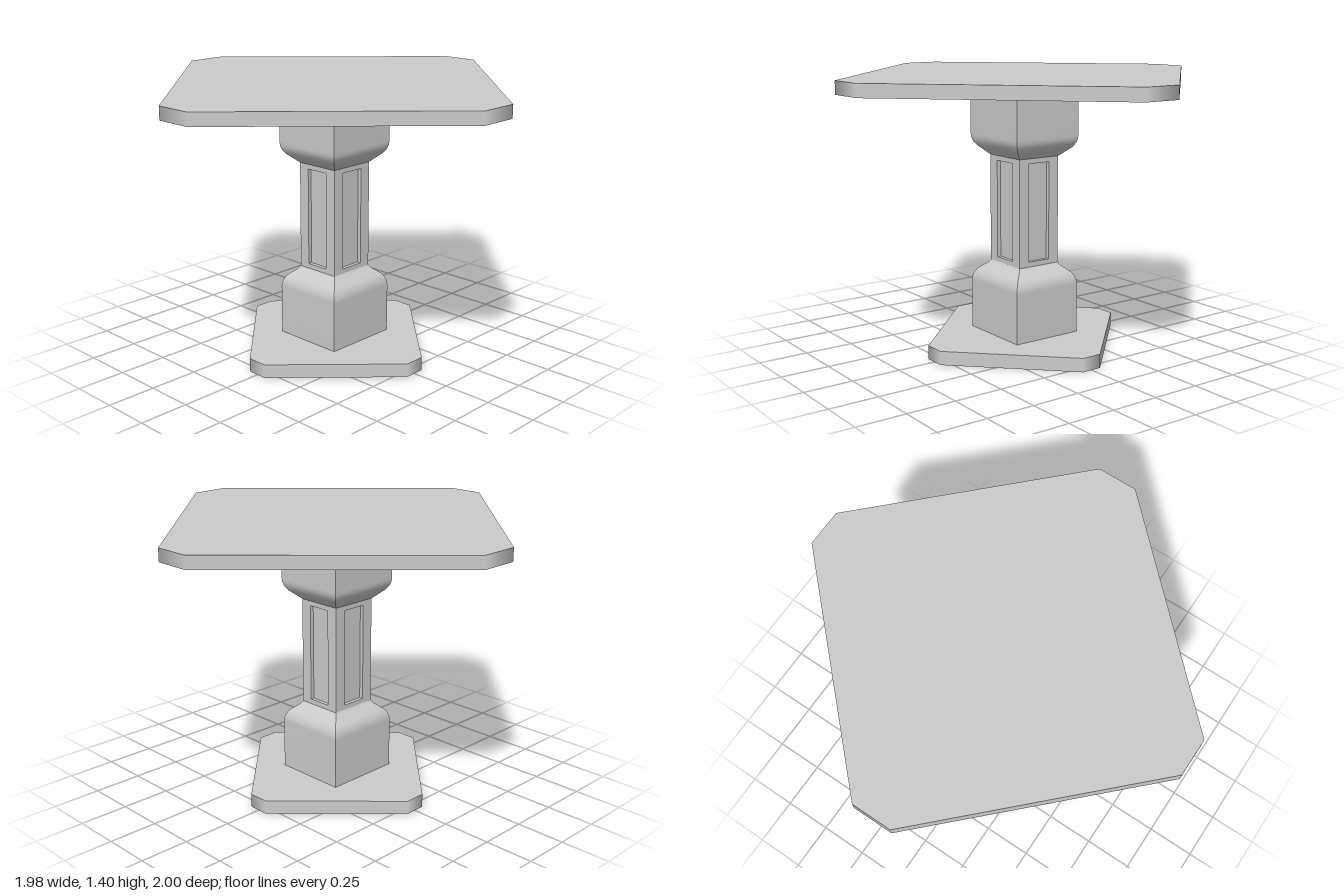
import * as THREE from 'three';

const material = new THREE.MeshStandardMaterial({ color: 0xcccccc });
const HX = 0.12, HZ = 0.126;          // half widths of the shaft
const Y0 = 0.435, Y1 = 0.985;         // shaft bottom and top
const DEPTH = 0.02;                   // panel recess

function part(name, geometry) {
  const mesh = new THREE.Mesh(geometry, material);
  mesh.name = name;
  return mesh;
}

// Diamond-turned square slab with clipped corners, softly shaded across the clips
function slab(name, rx, rz, y, height) {
  const cx = rx * 0.096, cz = rz * 0.1;
  const shape = new THREE.Shape([
    [rx, -cz], [rx, cz], [cx, rz], [-cx, rz],
    [-rx, cz], [-rx, -cz], [-cx, -rz], [cx, -rz],
  ].map(([x, z]) => new THREE.Vector2(x, z)));
  const g = new THREE.ExtrudeGeometry(shape, { depth: height, bevelEnabled: false });
  g.rotateX(-Math.PI / 2).translate(0, y, 0);
  const p = g.attributes.position, n = g.attributes.normal;
  for (let i = 0; i < p.count; i++) {
    if (Math.abs(n.getY(i)) > 0.5) continue;
    n.setXYZ(i, Math.sign(p.getX(i)) * Math.SQRT1_2, 0, Math.sign(p.getZ(i)) * Math.SQRT1_2);
  }
  return part(name, g);
}

// Four-sided loft through [half width, y] rings, smooth along the profile, sharp at the corners
function squareLoft(name, profile) {
  const corners = [[1, 1], [1, -1], [-1, -1], [-1, 1]];
  const pos = [], index = [];
  corners.forEach((a, s) => {
    const b = corners[(s + 1) % 4], start = pos.length / 3;
    profile.forEach(([r, y], i) => {
      for (const c of [a, b]) pos.push(c[0] * r, y, c[1] * r * HZ / HX);
      if (i === 0) return;
      const k = start + i * 2;
      index.push(k - 2, k - 1, k + 1, k - 2, k + 1, k);
    });
  });
  const g = new THREE.BufferGeometry();
  g.setAttribute('position', new THREE.Float32BufferAttribute(pos, 3));
  g.setIndex(index);
  g.computeVertexNormals();
  return part(name, g);
}

// Shaft face with a rectangular opening
function panelFrame(name, half, holeHalf, distance, angle) {
  const rect = (Type, w, a, b) => new Type([
    new THREE.Vector2(-w, a), new THREE.Vector2(w, a),
    new THREE.Vector2(w, b), new THREE.Vector2(-w, b),
  ]);
  const shape = rect(THREE.Shape, half, Y0, Y1);
  shape.holes.push(rect(THREE.Path, holeHalf, 0.46, 0.96));
  const g = new THREE.ExtrudeGeometry(shape, { depth: DEPTH, bevelEnabled: false });
  g.translate(0, 0, distance - DEPTH).rotateY(angle);
  return part(name, g);
}

export function createModel() {
  const table = new THREE.Group();
  table.name = 'pedestalTable';

  table.add(slab('base', 0.55, 0.55, 0, 0.07));
  table.add(slab('tableTop', 0.99, 1, 1.335, 0.065));

  // Flared blocks at the foot and head of the column
  table.add(squareLoft('footBlock', [
    [0.19, 0.07], [0.19, 0.325], [0.188, 0.345], [0.182, 0.363], [0.17, 0.385], [0.13, 0.42], [HX, Y0],
  ]));
  table.add(squareLoft('headBlock', [
    [HX, Y1], [0.13, 0.994], [0.168, 1.03], [0.182, 1.052], [0.188, 1.07], [0.19, 1.09], [0.19, 1.335],
  ]));

  // Shaft: a core whose faces form the recessed panels, wrapped by four frames
  const shaft = new THREE.Group();
  shaft.name = 'shaft';
  const core = new THREE.BoxGeometry(2 * (HX - DEPTH), Y1 - Y0, 2 * (HZ - DEPTH));
  shaft.add(part('panelCore', core.translate(0, (Y0 + Y1) / 2, 0)));
  for (const side of [0, 1]) {
    const turn = side * Math.PI;
    shaft.add(panelFrame(side ? 'backFrame' : 'frontFrame', HX, 0.062, HZ, turn));
    shaft.add(panelFrame(side ? 'rightFrame' : 'leftFrame', HZ - DEPTH, 0.066, HX, turn + Math.PI / 2));
  }
  table.add(shaft);
  return table;
}
